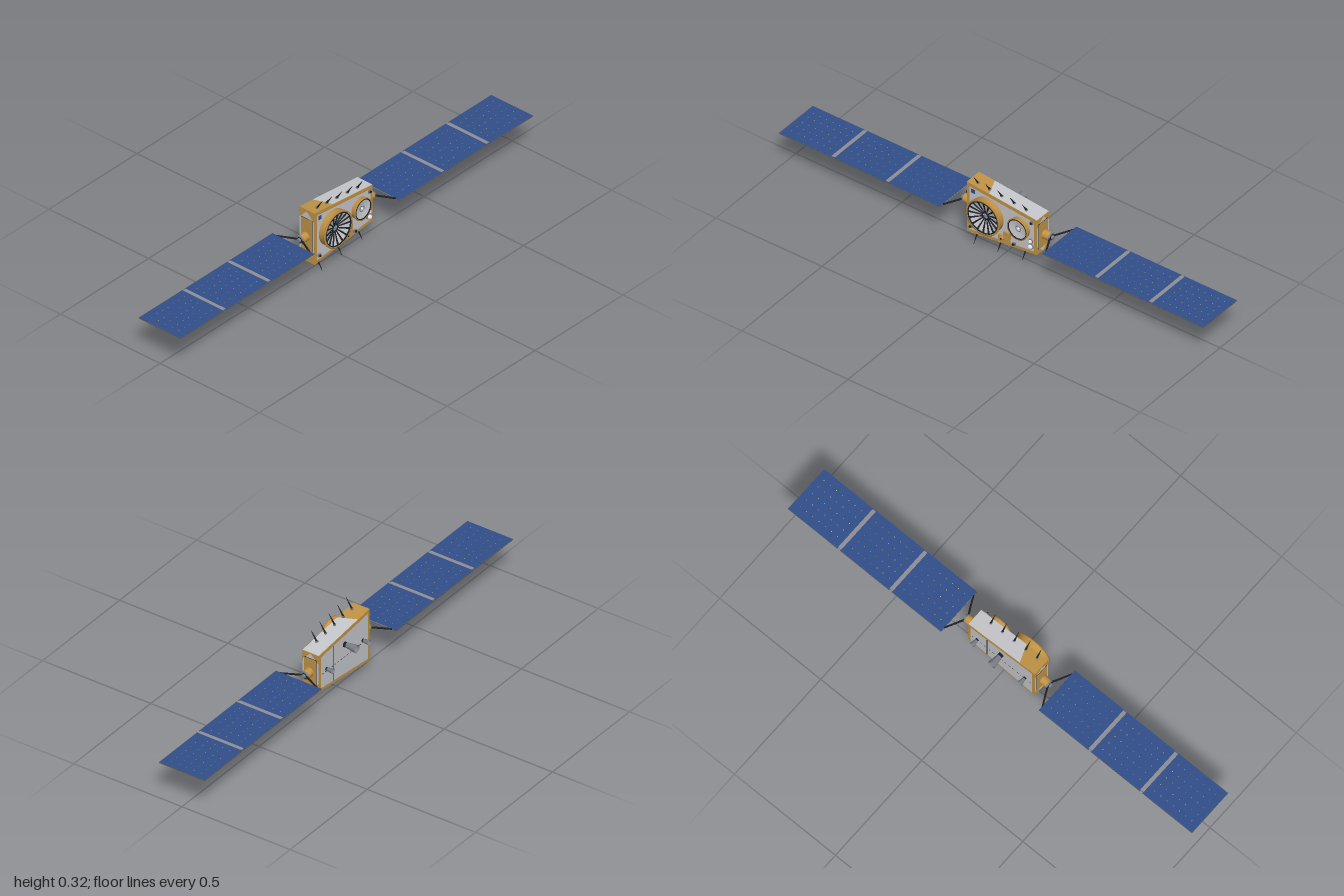
import * as THREE from 'three';

const material = (name, color, side = THREE.FrontSide) => {
  const m = new THREE.MeshStandardMaterial({ color, side });
  m.name = name;
  return m;
};

export function createModel() {
  const gold = material('gold foil', 0xc29445);
  const paleGrey = material('pale grey panel', 0xc8c9ce, THREE.DoubleSide);
  const metal = material('grey metal', 0x7b7f87, THREE.DoubleSide);
  const dark = material('black fittings', 0x1d2025);
  const blue = material('blue solar cells', 0x324f8a);
  const backing = material('array backing', 0x5c6267);
  const hingeGrey = material('hinge grey', 0x8f8f96);
  const white = material('white', 0xe6e6e6);
  const dotTone = material('cell contacts', 0xb8ad85);

  const model = new THREE.Group();
  const V = (x, y, z) => new THREE.Vector3(x, y, z);

  const add = (name, geo, mat, x = 0, y = 0, z = 0, parent = model) => {
    const m = new THREE.Mesh(geo, mat);
    m.name = name;
    m.position.set(x, y, z);
    parent.add(m);
    return m;
  };
  const box = (name, mat, w, h, d, x, y, z, parent) =>
    add(name, new THREE.BoxGeometry(w, h, d), mat, x, y, z, parent);
  // tapered rod between two points
  const rod = (name, mat, a, b, ra, rb, sides = 8, parent = model) => {
    const geo = new THREE.CylinderGeometry(rb, ra, a.distanceTo(b), sides);
    const m = add(name, geo, mat, 0, 0, 0, parent);
    m.position.copy(a).add(b).multiplyScalar(0.5);
    m.quaternion.setFromUnitVectors(V(0, 1, 0), b.clone().sub(a).normalize());
    return m;
  };
  // lathe around the z axis, profile given as [radius, z]
  const turned = (name, mat, profile, x, y) => {
    const geo = new THREE.LatheGeometry(profile.map(([r, h]) => new THREE.Vector2(r, h)), 40);
    return add(name, geo.rotateX(Math.PI / 2), mat, x, y);
  };
  // flat convex polygon facing a given direction
  const face = (name, mat, pts, out) => {
    const n = pts[1].clone().sub(pts[0]).cross(pts[2].clone().sub(pts[0]));
    const p = n.dot(out) < 0 ? [...pts].reverse() : pts;
    const idx = [];
    for (let i = 1; i < p.length - 1; i++) idx.push(0, i, i + 1);
    const geo = new THREE.BufferGeometry().setFromPoints(p);
    geo.setIndex(idx);
    geo.computeVertexNormals();
    return add(name, geo, mat);
  };

  // tapered body
  const HX = 0.165, HZ = 0.038, MID = 0.16;
  const half = x => 0.099 - 0.106 * x;
  const yTop = x => MID + half(x);
  const yBot = x => MID - half(x);
  const outline = inset => {
    const a = HX - inset;
    return [[-a, yBot(-a) + inset], [a, yBot(a) + inset], [a, yTop(a) - inset], [-a, yTop(-a) - inset]];
  };
  const bodyShape = new THREE.Shape(outline(0).map(([x, y]) => new THREE.Vector2(x, y)));
  add('body', new THREE.ExtrudeGeometry(bodyShape, { depth: HZ * 2, bevelEnabled: false }), gold, 0, 0, -HZ);

  // panels over front, back, top, bottom and ends
  const e = 0.0012;
  face('frontPanel', paleGrey, outline(0.014).map(([x, y]) => V(x, y, HZ + e)), V(0, 0, 1));
  face('backPanel', paleGrey, outline(0.013).map(([x, y]) => V(x, y, -HZ - e)), V(0, 0, -1));
  const slab = (f, s, pts) => pts.map(([x, z]) => V(x, f(x) + s * e, z));
  face('topPanel', paleGrey, slab(yTop, 1, [[-0.06, 0.037], [0.164, 0.037], [0.164, -0.037], [-0.09, -0.037]]), V(0, 1, 0));
  face('bottomPanel', paleGrey, slab(yBot, -1, [[-0.164, 0.037], [0.03, 0.037], [0.03, -0.037], [-0.164, -0.037]]), V(0, -1, 0));
  for (const s of [1, -1]) {
    const x = s * (HX + e), h = s > 0 ? 0.081 : 0.11;
    const hex = [[h, 0], [h - 0.038, 0.0375], [0.038 - h, 0.0375], [-h, 0], [0.038 - h, -0.0375], [h - 0.038, -0.0375]];
    face('endPanel', paleGrey, hex.map(([y, z]) => V(x, MID + y, z)), V(s, 0, 0));
    box('endFrame', dark, 0.003, h * 1.44, 0.057, s * (HX + 0.001), MID, 0);
    box('endFoil', gold, 0.004, h * 1.44 - 0.002, 0.055, s * (HX + 0.0015), MID, 0);
  }

  // large dish drum with ribbed concave bowl
  const DX = -0.066, DY = 0.169;
  turned('largeDrum', gold, [[0.075, 0.037], [0.075, 0.066], [0.079, 0.066], [0.079, 0.072], [0.072, 0.072], [0.07, 0.066]], DX, DY);
  turned('largeDish', paleGrey, [[0.071, 0.067], [0.045, 0.058], [0.02, 0.051], [0, 0.05]], DX, DY);
  add('dishRing', new THREE.TorusGeometry(0.07, 0.0028, 6, 48), dark, DX, DY, 0.07);
  for (let i = 0; i < 16; i++) {
    const a = i / 16 * Math.PI * 2, c = Math.cos(a), s = Math.sin(a);
    rod('dishRib', dark, V(DX + c * 0.014, DY + s * 0.014, 0.053), V(DX + c * 0.069, DY + s * 0.069, 0.068), 0.0022, 0.0038, 6);
  }
  add('dishHubRing', new THREE.TorusGeometry(0.014, 0.003, 6, 24), dark, DX, DY, 0.054);
  rod('dishHub', metal, V(DX, DY, 0.048), V(DX, DY, 0.058), 0.008, 0.006, 16);

  // small dish drum
  const SX = 0.088, SY = 0.178;
  turned('smallDrum', gold, [[0.045, 0.037], [0.045, 0.054], [0.048, 0.054], [0.048, 0.06], [0.043, 0.06], [0.042, 0.055]], SX, SY);
  turned('smallDish', paleGrey, [[0.043, 0.057], [0.02, 0.052], [0, 0.051]], SX, SY);
  add('smallDishRing', new THREE.TorusGeometry(0.042, 0.0022, 6, 40), dark, SX, SY, 0.059);
  add('smallHubRing', new THREE.TorusGeometry(0.012, 0.0015, 6, 24), metal, SX, SY, 0.053);
  rod('smallHub', white, V(SX, SY, 0.05), V(SX, SY, 0.058), 0.006, 0.004, 12);

  // front instruments
  for (const [x, y, r] of [[0.139, 0.136, 0.008], [0.139, 0.112, 0.01]]) {
    rod('sensorCollar', metal, V(x, y, HZ), V(x, y, 0.045), r + 0.002, r + 0.002, 16);
    add('sensorDome', new THREE.SphereGeometry(r, 16, 12), white, x, y, 0.046);
  }
  box('foilBlock', gold, 0.052, 0.026, 0.012, 0.016, 0.092, 0.043);
  box('foilBlockUpper', gold, 0.03, 0.026, 0.01, 0.028, 0.114, 0.042);
  rod('foilTube', gold, V(0.008, 0.095, 0.045), V(0.008, 0.095, 0.056), 0.009, 0.009, 16);
  rod('foilTubeLens', dark, V(0.008, 0.095, 0.056), V(0.008, 0.095, 0.0565), 0.004, 0.004, 16);
  box('cornerUnit', blue, 0.018, 0.018, 0.003, -0.136, 0.245, 0.039);
  for (const [x, y] of [[0.143, 0.224], [-0.143, 0.079], [0.06, 0.087]]) {
    box('cornerSensor', metal, 0.013, 0.013, 0.008, x, y, 0.042);
    rod('cornerLens', dark, V(x, y, 0.045), V(x, y, 0.05), 0.005, 0.005, 12);
  }

  // back seams and thrusters
  const seamZ = -HZ - e - 0.0002;
  box('backSeam', dark, 0.003, 0.156, 0.0004, 0.07, MID, seamZ);
  for (let i = 0; i < 15; i++) box('seamDash', dark, 0.011, 0.002, 0.0004, -0.14 + i * 0.02, 0.15, seamZ);
  const thruster = (name, x, y, z1, r) => {
    const z0 = -HZ, len = z1 - z0;
    rod(name + 'Base', dark, V(x, y, z0), V(x, y, z0 + len * 0.25), r * 0.65, r * 0.6, 16);
    turned(name + 'Nozzle', metal, [[r * 0.6, z0 + len * 0.2], [r * 0.75, z0 + len * 0.5], [r, z1]], x, y);
    rod(name + 'Throat', dark, V(x, y, z0 + len * 0.4), V(x, y, z0 + len * 0.5), r * 0.7, r * 0.7, 16);
  };
  thruster('mainThruster', 0, 0.207, -0.097, 0.017);
  thruster('sideThruster', 0.118, 0.161, -0.07, 0.011);
  thruster('sideThruster', -0.118, 0.161, -0.07, 0.011);

  // forward-leaning spike aerials, five above and three below
  const spike = (x, y, s) => {
    box('spikeMount', metal, 0.009, 0.008, 0.009, x, y + s * 0.003, 0.018);
    rod('spike', dark, V(x, y + s * 0.004, 0.018), V(x, y + s * 0.0455, 0.045), 0.0042, 0.0005, 8);
  };
  const spots = [-0.128, -0.073, -0.016, 0.043, 0.1];
  spots.forEach((x, i) => {
    spike(x, yTop(x), 1);
    if (i % 2 === 0) spike(x, yBot(x), -1);
  });

  // solar wings, with x measured outward from the body
  const dotGeo = new THREE.BoxGeometry(0.0028, 0.0006, 0.0028).rotateY(Math.PI / 4);
  for (const s of [1, -1]) {
    const wing = new THREE.Group();
    wing.name = s > 0 ? 'leftWing' : 'rightWing';
    wing.position.y = 0.161;
    model.add(wing);
    const P = (x, y, z) => V(s * x, y, z);
    rod('driveNeck', metal, P(0.163, 0, 0), P(0.174, 0, 0), 0.014, 0.014, 20, wing);
    rod('driveHousing', gold, P(0.172, 0, 0), P(0.203, 0, 0), 0.019, 0.018, 20, wing);
    rod('driveCollar', metal, P(0.202, 0, 0), P(0.207, 0, 0), 0.019, 0.017, 20, wing);
    rod('driveRing', dark, P(0.206, 0, 0), P(0.208, 0, 0), 0.012, 0.012, 20, wing);
    rod('driveShaft', metal, P(0.207, 0, 0), P(0.216, 0, 0), 0.009, 0.008, 16, wing);
    // V-shaped yoke
    for (const k of [1, -1]) rod('yokeArm', dark, P(0.205, 0, k * 0.01), P(0.244, 0, k * 0.086), 0.004, 0.0035, 8, wing);
    rod('yokeBar', metal, P(0.244, 0, -0.088), P(0.244, 0, 0.088), 0.003, 0.003, 8, wing);
    for (const [a, b] of [[0.242, 0.487], [0.499, 0.742], [0.754, 1]]) {
      const w = b - a, c = s * (a + b) / 2;
      box('panelBacking', backing, w, 0.005, 0.21, c, 0, 0, wing);
      box('panelCells', blue, w - 0.002, 0.001, 0.208, c, 0.0026, 0, wing);
      for (let i = 1; i < 8; i++) for (let j = 1; j < 6; j++)
        add('cellContact', dotGeo, dotTone, c + (i / 8 - 0.5) * w, 0.003, (j / 6 - 0.5) * 0.206, wing);
    }
    for (const x of [0.493, 0.748]) {
      box('hingeBacking', backing, 0.013, 0.004, 0.2, s * x, -0.0002, 0, wing);
      box('hingeStrip', hingeGrey, 0.016, 0.002, 0.2, s * x, 0.0026, 0, wing);
    }
  }
  return model;
}
